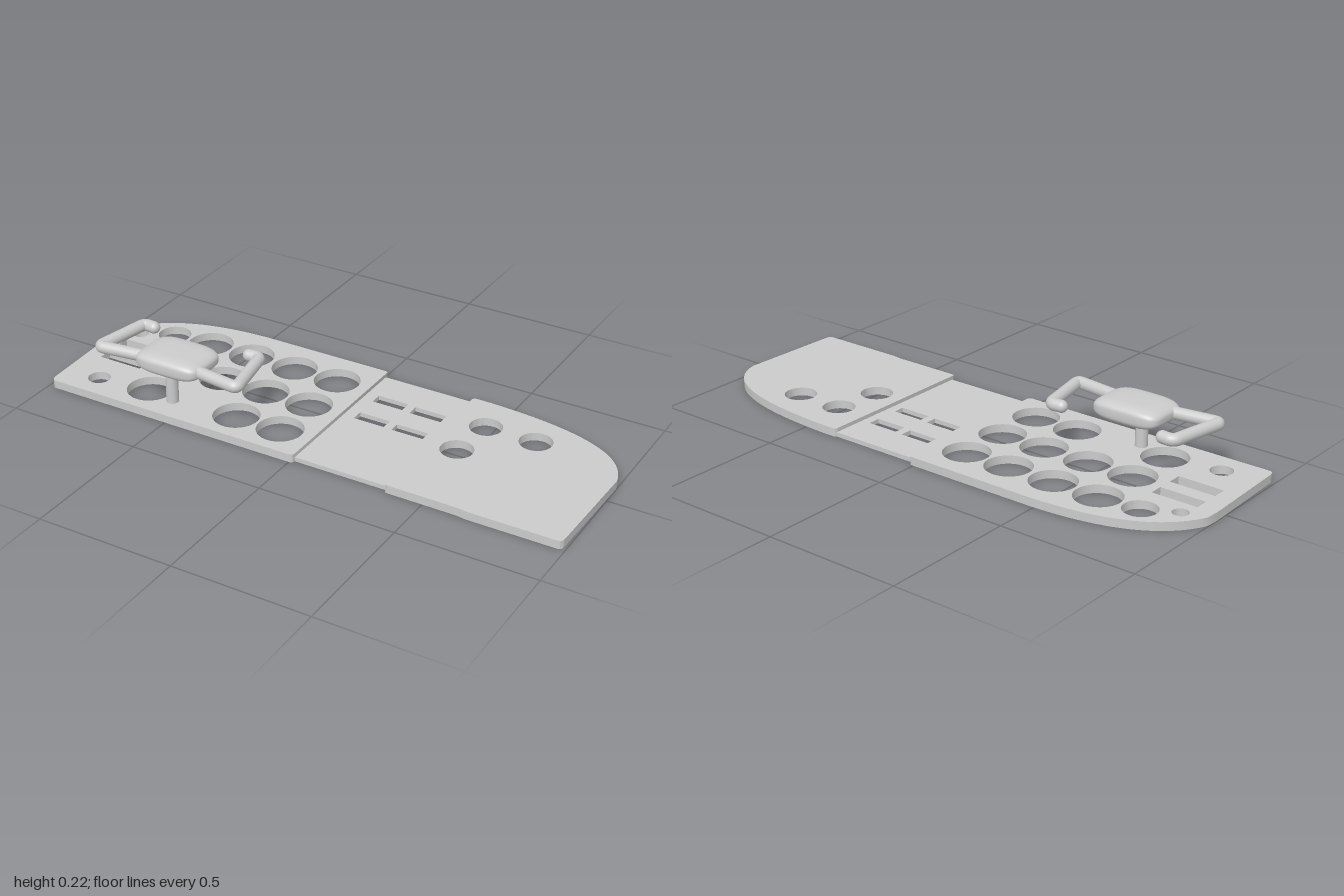
import * as THREE from 'three';
import { toCreasedNormals } from 'three/addons/utils/BufferGeometryUtils.js';

const material = new THREE.MeshStandardMaterial({ color: 0xcccccc, side: THREE.DoubleSide });

function part(name, geometry) {
  const mesh = new THREE.Mesh(geometry, material);
  mesh.name = name;
  return mesh;
}

// Plan shapes are drawn in (x, -z), then laid flat with the thickness going up.
function panel(name, outline, circles, slots, thickness) {
  for (const [x, z, r] of circles) {
    outline.holes.push(new THREE.Path().absarc(x, -z, r, 0, Math.PI * 2, true));
  }
  for (const [x0, x1, z0, z1] of slots) {
    outline.holes.push(new THREE.Path([[x0, z0], [x1, z0], [x1, z1], [x0, z1]]
      .map(([x, z]) => new THREE.Vector2(x, -z))));
  }
  const geometry = new THREE.ExtrudeGeometry(outline, { depth: thickness, bevelEnabled: false, curveSegments: 24 });
  geometry.rotateX(-Math.PI / 2);
  return part(name, toCreasedNormals(geometry, 0.6));
}

function mainOutline() {
  const s = new THREE.Shape();
  s.moveTo(-0.965, -0.317);
  s.lineTo(0, -0.317);
  s.quadraticCurveTo(0.015, -0.317, 0.015, -0.3);
  s.lineTo(0.015, 0.325);
  s.quadraticCurveTo(0.015, 0.333, 0.005, 0.333);
  s.lineTo(-0.48, 0.333);
  s.bezierCurveTo(-0.72, 0.328, -0.92, 0.27, -0.997, 0.1);
  s.lineTo(-1, 0.05);
  s.lineTo(-0.987, -0.29);
  s.quadraticCurveTo(-0.985, -0.317, -0.965, -0.317);
  return s;
}

function sideOutline() {
  const s = new THREE.Shape();
  s.moveTo(0.37, -0.317);
  s.lineTo(0.62, -0.318);
  s.lineTo(0.66, -0.323);
  s.lineTo(0.975, -0.323);
  s.quadraticCurveTo(0.99, -0.322, 0.99, -0.3);
  s.lineTo(0.999, 0.08);
  s.bezierCurveTo(0.97, 0.23, 0.79, 0.31, 0.42, 0.322);
  s.lineTo(0.375, 0.322);
  s.quadraticCurveTo(0.36, 0.322, 0.36, 0.308);
  s.lineTo(0.36, -0.305);
  s.quadraticCurveTo(0.36, -0.317, 0.37, -0.317);
  return s;
}

function centreOutline() {
  return new THREE.Shape([[0.015, -0.303], [0.36, -0.303], [0.36, 0.316], [0.015, 0.316]]
    .map(([x, y]) => new THREE.Vector2(x, y)));
}

// Lens-like pad: a sphere squared off in plan and thinned towards its ends.
function hubGeometry() {
  const geometry = new THREE.SphereGeometry(1, 48, 32).rotateZ(Math.PI / 2);
  const p = geometry.attributes.position;
  const power = (v, e) => Math.sign(v) * Math.abs(v) ** e;
  for (let i = 0; i < p.count; i++) {
    const x = p.getX(i), y = p.getY(i), z = p.getZ(i);
    const v = Math.hypot(y, z);
    const c = v > 1e-6 ? y / v : 0, s = v > 1e-6 ? z / v : 0;
    const height = 0.0375 * (0.5 * v ** 0.4 + 0.5 * v ** 1.3);
    p.setXYZ(i, 0.13 * power(x, 0.55), height * power(c, 0.6), 0.096 * v ** 0.35 * power(s, 0.5));
  }
  geometry.computeVertexNormals();
  return geometry;
}

// Handle arm with rounded bends and a closed tip, for side = -1 or 1.
function handle(side) {
  const group = new THREE.Group();
  group.name = side < 0 ? 'rightHandle' : 'leftHandle';
  const points = [[0.1, 0.225], [0.285, 0.25], [0.243, 0.035], [0.2, 0.039]]
    .map(([x, z]) => new THREE.Vector3(side * x, 0, z));
  const path = new THREE.CurvePath();
  let start = points[0];
  for (let i = 1; i < points.length - 1; i++) {
    const towards = (q) => points[i].clone().add(q.clone().sub(points[i]).setLength(0.022));
    const a = towards(points[i - 1]), b = towards(points[i + 1]);
    path.add(new THREE.LineCurve3(start, a));
    path.add(new THREE.QuadraticBezierCurve3(a, points[i], b));
    start = b;
  }
  path.add(new THREE.LineCurve3(start, points.at(-1)));
  group.add(part('handleTube', new THREE.TubeGeometry(path, 90, 0.022, 20)));
  const tip = part('handleTip', new THREE.SphereGeometry(0.022, 20, 14));
  tip.position.copy(points.at(-1));
  group.add(tip);
  return group;
}

export function createModel() {
  const model = new THREE.Group();
  model.name = 'instrumentPanel';

  // Main panel: gauge grid, with one place left solid under the column
  const gauges = [];
  [-0.187, 0.005, 0.193].forEach((z, row) => {
    [-0.645, -0.468, -0.286, -0.11].forEach((x, column) => {
      if (row !== 2 || column !== 1) gauges.push([x, z, 0.083]);
    });
  });
  gauges.push([-0.8, -0.18, 0.06], [-0.912, -0.123, 0.028], [-0.847, 0.22, 0.04]);
  model.add(panel('mainPanel', mainOutline(), gauges,
    [[-0.933, -0.762, -0.06, -0.01], [-0.933, -0.762, 0.043, 0.096]], 0.03));

  // Thin centre panel with four slots
  model.add(panel('centrePanel', centreOutline(), [], [
    [0.058, 0.175, -0.19, -0.145], [0.206, 0.326, -0.185, -0.14],
    [0.058, 0.175, -0.058, -0.014], [0.206, 0.326, -0.053, -0.012]], 0.016));

  // Side panel with three gauges
  model.add(panel('sidePanel', sideOutline(),
    [[0.484, -0.17, 0.058], [0.671, -0.168, 0.058], [0.465, 0.008, 0.058]], [], 0.03));

  // Control yoke: column, hub and mirrored handles
  const yoke = new THREE.Group();
  yoke.name = 'controlYoke';
  yoke.position.x = -0.53;
  const column = part('column', new THREE.CylinderGeometry(0.022, 0.022, 0.14, 28));
  column.position.set(0, 0.09, 0.222);
  const hub = part('hub', hubGeometry());
  hub.position.set(0, 0.178, 0.184);
  yoke.add(column, hub);
  for (const side of [-1, 1]) {
    const arm = handle(side);
    arm.position.y = 0.179;
    yoke.add(arm);
  }
  model.add(yoke);
  return model;
}
